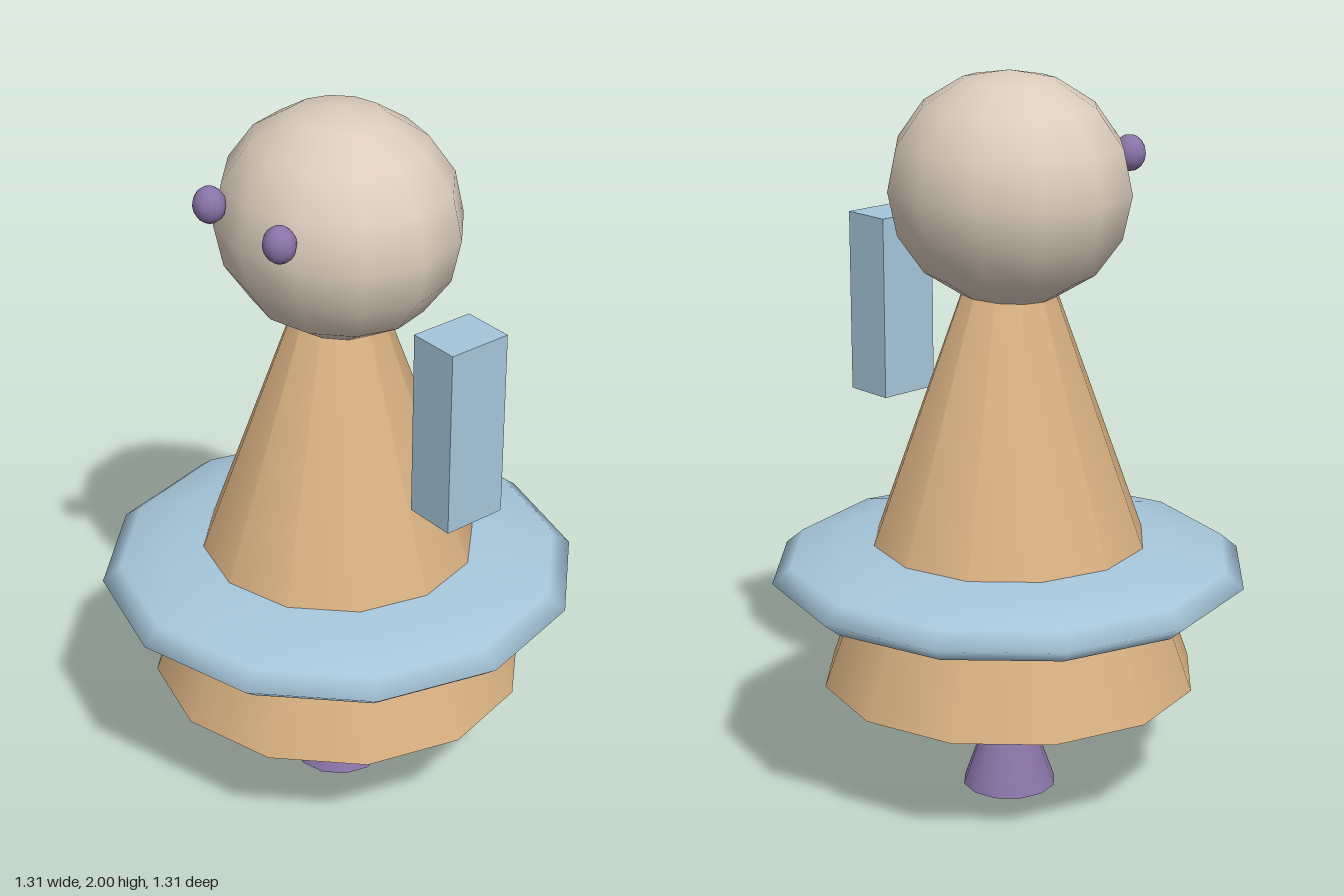
import * as THREE from 'three';

export function createModel() {
  const model = new THREE.Group();

  const material = (name, color, side = THREE.FrontSide) => {
    const m = new THREE.MeshStandardMaterial({ color, side });
    m.name = name;
    return m;
  };
  const tan = material('tan', 0xdab283, THREE.DoubleSide);
  const blue = material('paleBlue', 0xa6c6da);
  const cream = material('cream', 0xdccdbd);
  const purple = material('purple', 0x8a74a8, THREE.DoubleSide);

  const add = (name, geometry, mat, x, y, z) => {
    const mesh = new THREE.Mesh(geometry, mat);
    mesh.name = name;
    mesh.position.set(x, y, z);
    model.add(mesh);
    return mesh;
  };
  // Twelve-sided ellipsoid given its three half sizes
  const ellipsoid = (rx, ry, rz) => new THREE.SphereGeometry(1, 12, 8).scale(rx, ry, rz);
  // Hollow cone without a base, standing on y
  const cone = (name, radius, height, mat, y) =>
    add(name, new THREE.ConeGeometry(radius, height, 12, 1, true), mat, 0, y + height / 2, 0);

  // Hollow skirted body, its tip hidden in the head
  cone('body', 0.516, 1.44, tan, 0.333);

  // Small foot cone below the body
  cone('foot', 0.13, 0.37, purple, 0);

  // Flattened ring-like disc around the waist
  add('waistDisc', ellipsoid(0.653, 0.108, 0.653), blue, 0, 0.643, 0);

  // Head and eyes
  add('head', ellipsoid(0.342, 0.308, 0.315), cream, 0, 1.692, 0);
  for (const side of [-1, 1]) {
    add(side > 0 ? 'leftEye' : 'rightEye', ellipsoid(0.045, 0.049, 0.043), purple,
      side * 0.145, 1.765, 0.3);
  }

  // Single floating arm block on the left
  add('leftArm', new THREE.BoxGeometry(0.144, 0.507, 0.178), blue, 0.479, 1.303, 0);

  return model;
}
